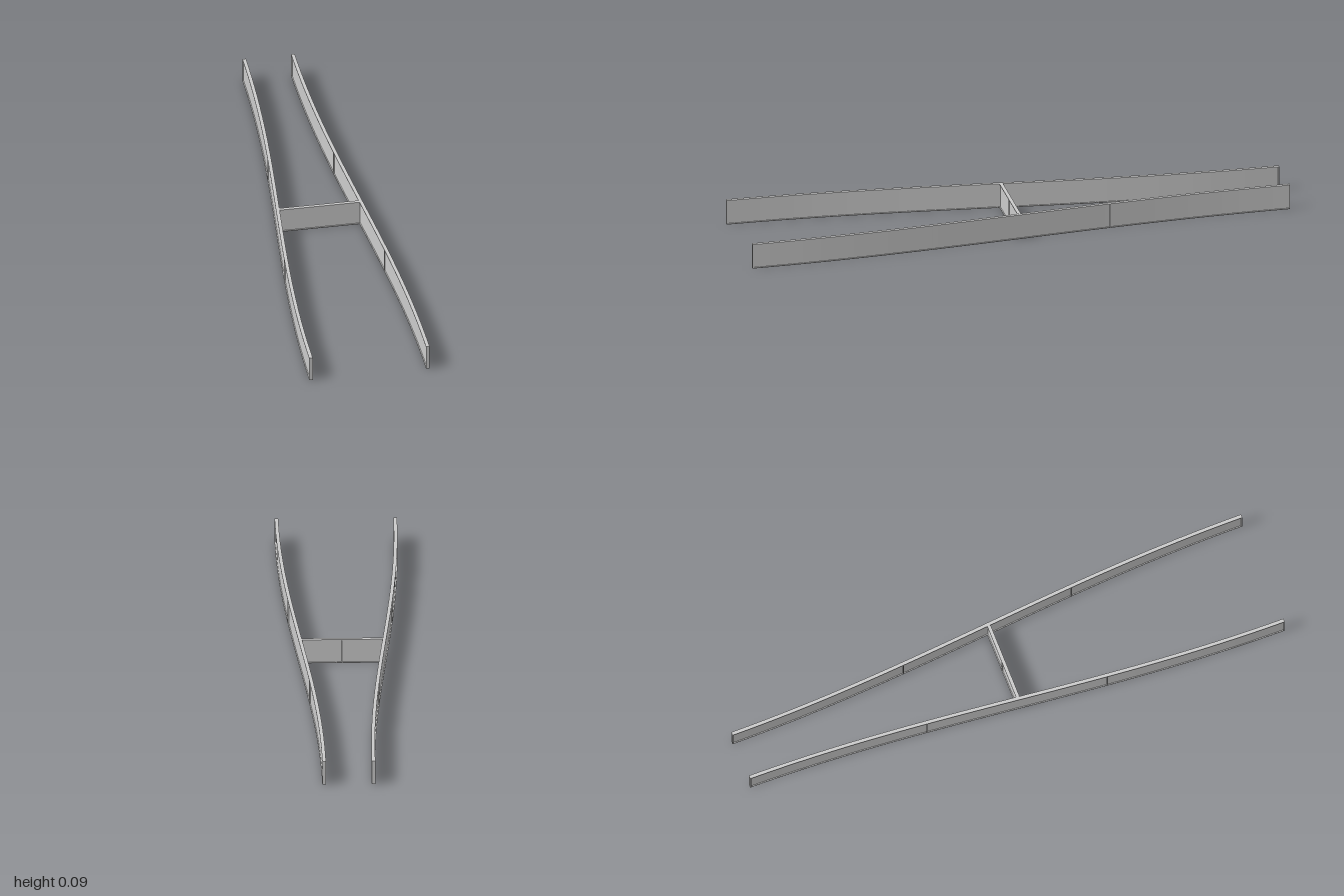
import * as THREE from 'three';

const HEIGHT = 0.093, WIDTH = 0.013, FLANGE = 0.003, WEB = 0.005, RIB = 0.004;
const material = new THREE.MeshStandardMaterial({ color: 0xcccccc });

// Plan position of a girder's centre line: a soft S-curve, wide at the front
const curveX = (z) => 0.1505 + 0.062 * Math.sin((z * Math.PI) / 2);
const slope = (z) => 0.062 * (Math.PI / 2) * Math.cos((z * Math.PI) / 2);

function add(parent, name, geometry) {
  const mesh = new THREE.Mesh(geometry, material);
  mesh.name = name;
  parent.add(mesh);
  return mesh;
}

function addBox(parent, name, size, position) {
  const mesh = add(parent, name, new THREE.BoxGeometry(...size));
  mesh.position.set(...position);
  return mesh;
}

// Plate following the curve in plan, standing from y0 to y1
function curvedPlate(side, width, y0, y1) {
  const steps = 32, inner = [], outer = [];
  for (let i = 0; i <= steps; i++) {
    const z = -1 + (2 * i) / steps;
    inner.push(new THREE.Vector2(side * (curveX(z) - width / 2), -z));
    outer.push(new THREE.Vector2(side * (curveX(z) + width / 2), -z));
  }
  const shape = new THREE.Shape([...outer, ...inner.reverse()]);
  const geometry = new THREE.ExtrudeGeometry(shape, { depth: y1 - y0, bevelEnabled: false });
  return geometry.rotateX(-Math.PI / 2).translate(0, y0, 0);
}

// Curved I-section girder with web stiffeners at the ends and third points
function createGirder(side) {
  const girder = new THREE.Group();
  girder.name = side > 0 ? 'leftGirder' : 'rightGirder';
  add(girder, 'bottomFlange', curvedPlate(side, WIDTH, 0, FLANGE));
  add(girder, 'topFlange', curvedPlate(side, WIDTH, HEIGHT - FLANGE, HEIGHT));
  add(girder, 'web', curvedPlate(side, WEB, FLANGE, HEIGHT - FLANGE));
  for (const z of [-1 + RIB / 2, -1 / 3, 1 / 3, 1 - RIB / 2]) {
    const rib = addBox(girder, 'stiffener', [WIDTH, HEIGHT - 2 * FLANGE, RIB],
      [side * curveX(z), HEIGHT / 2, z]);
    if (Math.abs(z) < 0.9) rib.rotation.y = side * Math.atan(slope(z));
  }
  return girder;
}

// Straight I-section beam joining the two girders
function createCrossBeam() {
  const beam = new THREE.Group();
  beam.name = 'crossBeam';
  const z = 0.006, half = curveX(z) - WIDTH / 2;
  for (const [name, y] of [['bottomFlange', FLANGE / 2], ['topFlange', HEIGHT - FLANGE / 2]]) {
    addBox(beam, name, [2 * half, FLANGE, WIDTH], [0, y, z]);
  }
  const inside = HEIGHT - 2 * FLANGE;
  addBox(beam, 'web', [2 * (curveX(z) - WEB / 2), inside, WEB], [0, HEIGHT / 2, z]);
  addBox(beam, 'stiffener', [RIB, inside, WIDTH], [0, HEIGHT / 2, z]);
  return beam;
}

export function createModel() {
  const model = new THREE.Group();
  model.name = 'girderFrame';
  model.add(createGirder(1), createGirder(-1), createCrossBeam());
  return model;
}
